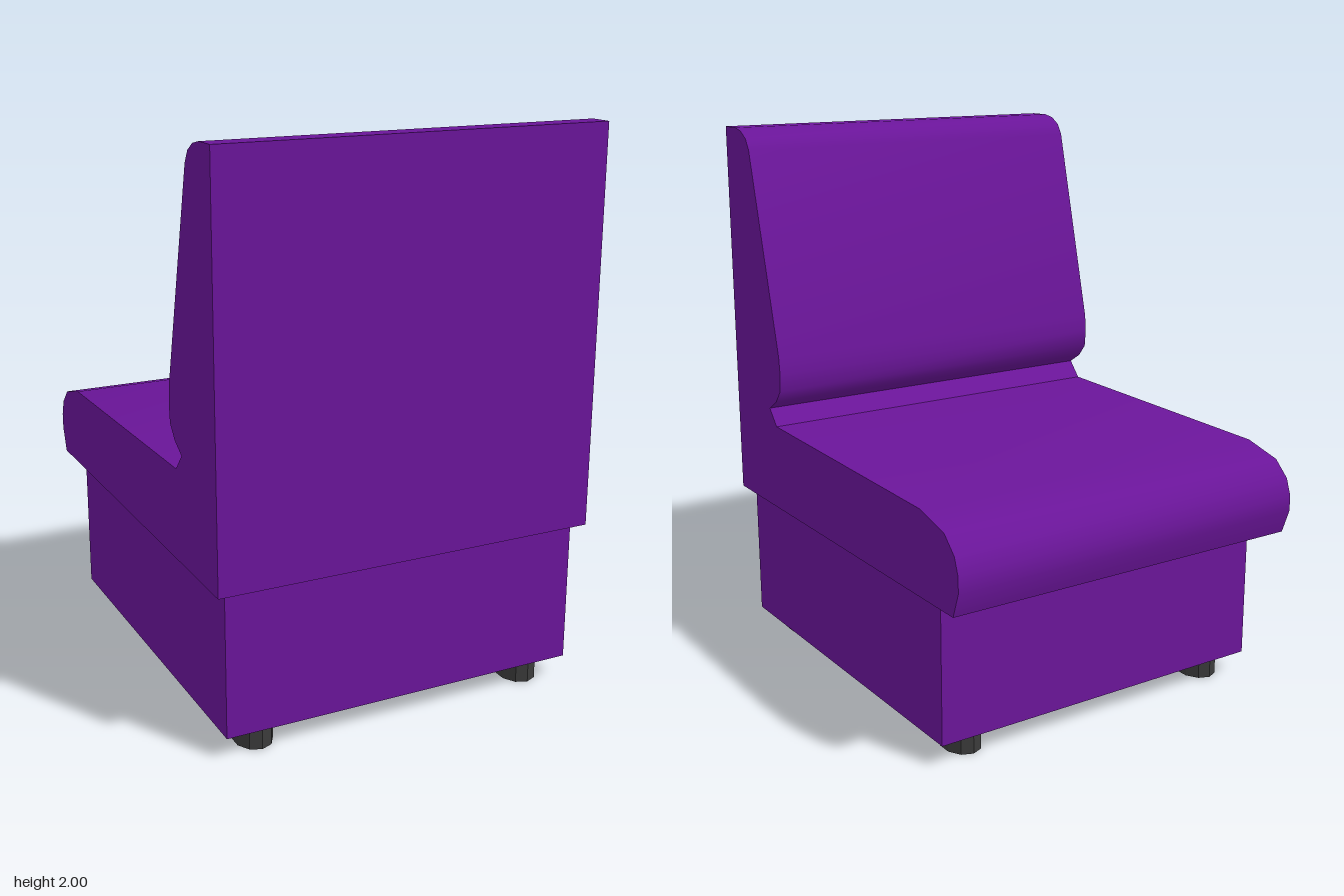
import * as THREE from 'three';
import { toCreasedNormals } from 'three/addons/utils/BufferGeometryUtils.js';

const purple = new THREE.MeshStandardMaterial({ color: 0x6a1599 });
const darkGrey = new THREE.MeshStandardMaterial({ color: 0x3a3a3a });

// Side outline of seat and backrest as [z, y]; the seat points toward -z.
const outline = [
  [0.805, 0.595], [-0.772, 0.595], [-0.804, 0.683], [-0.804, 0.74], [-0.783, 0.8],
  [-0.725, 0.857], [-0.582, 0.895], [0.467, 0.917], [0.52, 0.977], [0.462, 1.013],
  [0.424, 1.06], [0.418, 1.127], [0.424, 1.19], [0.608, 1.925], [0.632, 1.965],
  [0.672, 1.99], [0.72, 2], [0.805, 2],
];

function addMesh(group, name, geometry, material) {
  const mesh = new THREE.Mesh(geometry, material);
  mesh.name = name;
  group.add(mesh);
  return mesh;
}

export function createModel() {
  const group = new THREE.Group();
  group.name = 'armlessChair';

  // Upholstered seat and backrest, one profile swept across the width
  const width = 1.4;
  const shape = new THREE.Shape(outline.map(([z, y]) => new THREE.Vector2(-z, y)));
  const cushion = new THREE.ExtrudeGeometry(shape, { depth: width, bevelEnabled: false });
  cushion.translate(0, 0, -width / 2).rotateY(Math.PI / 2);
  addMesh(group, 'seatAndBackrest', toCreasedNormals(cushion, 0.6), purple);

  // Shallow tapered underside between the cushion and the base
  const lip = new THREE.BoxGeometry(width, 0.01, 1.577);
  const p = lip.attributes.position;
  for (let i = 0; i < p.count; i++) {
    const low = p.getY(i) < 0;
    const z = p.getZ(i) > 0 ? (low ? 0.77 : 0.805) : (low ? -0.632 : -0.772);
    p.setXYZ(i, Math.sign(p.getX(i)) * (low ? 0.662 : 0.7), low ? 0.585 : 0.595, z);
  }
  lip.computeVertexNormals();
  addMesh(group, 'cushionUnderside', lip, purple);

  // Box base
  addMesh(group, 'base', new THREE.BoxGeometry(1.324, 0.507, 1.402), purple)
    .position.set(-0.002, 0.3335, 0.069);

  // Four short oval feet
  const foot = toCreasedNormals(new THREE.CylinderGeometry(1, 1, 0.08, 10), 0.3);
  for (const x of [-0.53, 0.52]) {
    for (const z of [-0.52, 0.668]) {
      const mesh = addMesh(group, 'foot', foot, darkGrey);
      mesh.scale.set(0.068, 1, 0.085);
      mesh.position.set(x, 0.04, z);
    }
  }
  return group;
}
